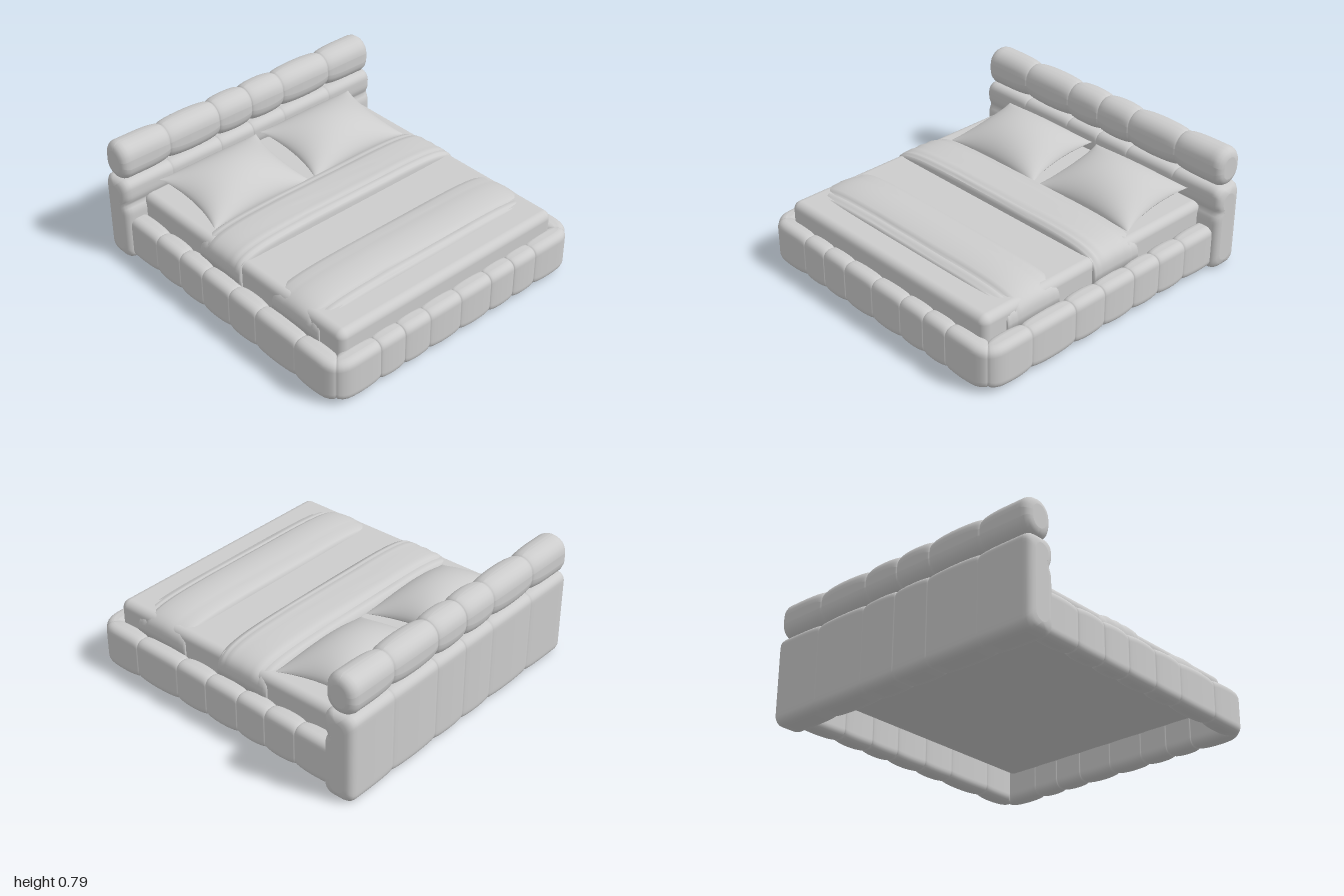
import * as THREE from 'three';
import { RoundedBoxGeometry } from 'three/addons/geometries/RoundedBoxGeometry.js';

const V = (x, y, z) => new THREE.Vector3(x, y, z);

// Closed skin over a list of rings, each ring counter-clockwise about the travel direction
function loft(rings) {
  const n = rings[0].length, pos = [], idx = [];
  rings.forEach(r => r.forEach(p => pos.push(p.x, p.y, p.z)));
  for (let i = 0; i < rings.length - 1; i++) {
    for (let j = 0; j < n; j++) {
      const a = i * n + j, b = i * n + (j + 1) % n;
      idx.push(a, b, a + n, b, b + n, a + n);
    }
  }
  // flat end caps with their own corners
  [[rings[0], true], [rings[rings.length - 1], false]].forEach(([ring, start]) => {
    const c = ring.reduce((s, p) => s.add(p), V(0, 0, 0)).divideScalar(n);
    const base = pos.length / 3;
    [c, ...ring].forEach(p => pos.push(p.x, p.y, p.z));
    for (let j = 0; j < n; j++) {
      const a = base + 1 + j, b = base + 1 + (j + 1) % n;
      start ? idx.push(base, b, a) : idx.push(base, a, b);
    }
  });
  const g = new THREE.BufferGeometry();
  g.setAttribute('position', new THREE.Float32BufferAttribute(pos, 3));
  g.setIndex(idx);
  g.computeVertexNormals();
  return g;
}

// Rounded rectangle section, shrunk by inset; straight sides are subdivided
function section(w, h, r, inset) {
  const hw = w / 2 - inset, hh = h / 2 - inset, rr = Math.min(r, hw, hh), pts = [];
  for (let q = 0; q < 4; q++) {
    const sx = q === 0 || q === 3 ? 1 : -1, sy = q < 2 ? 1 : -1;
    for (let k = 0; k <= 6; k++) {
      const a = (q + k / 6) * Math.PI / 2;
      pts.push([sx * (hw - rr) + rr * Math.cos(a), sy * (hh - rr) + rr * Math.sin(a)]);
    }
  }
  const out = [];
  pts.forEach((p, i) => {
    out.push(p);
    if (i % 7 !== 6) return;
    const q = pts[(i + 1) % pts.length];
    for (let k = 1; k < 24; k++) out.push([p[0] + (q[0] - p[0]) * k / 24, p[1] + (q[1] - p[1]) * k / 24]);
  });
  return out;
}

// Stations along a padded bar: [distance, inset], pinched in at every seam
function tufts(seams, depth) {
  const out = [];
  for (let i = 0; i < seams.length - 1; i++) {
    for (let k = i ? 1 : 0; k <= 16; k++) {
      const t = (1 - Math.cos(Math.PI * k / 16)) / 2;
      const bulge = Math.pow(Math.max(0, 4 * t * (1 - t)), 0.4);
      out.push([seams[i] + (seams[i + 1] - seams[i]) * t, depth * (1 - bulge)]);
    }
  }
  return out;
}

// Padded headboard bar running across the bed, with rounded ends
function headboardBar(halfLength, y, h, r, depth, grooveY) {
  const end = 0.05, x = halfLength;
  const stations = tufts([-x, -0.62, -0.25, 0, 0.25, 0.62, x], depth).map(([s, i]) => {
    const e = Math.max(0, Math.abs(s) - (x - end));
    return [s, (Math.abs(s) > 0.8 ? 0 : i) + end - Math.sqrt(Math.max(0, end * end - e * e))];
  });
  return loft(stations.map(([s, inset]) => section(0.2, h, r, inset).map(([u, v]) => {
    const near = grooveY && u > 0.03 ? Math.max(0, 1 - Math.abs(y + v - grooveY) / 0.06) : 0;
    return V(-s, y + v, -0.9 + u - 0.022 * near * near);
  })));
}

// Side and foot rails as one padded U with mitred, rounded corners
function railGeometry() {
  const T = 0.13, ix = 0.82, iz = 0.87, z0 = -0.86, A = 0.1, L = iz - z0, F = 2 * ix, S = 2 * (L + A) + F;
  const side = [-0.57, -0.35, -0.14, 0.1, 0.33, 0.66].map(z => z - z0);
  const half = [0, ...side, L + A / 2];
  const foot = [0.61, 0.43, 0.24, 0, -0.24, -0.43, -0.61].map(x => L + A + ix - x);
  const seams = [...half, ...foot, ...half.map(s => S - s).reverse()];
  return loft(tufts(seams, 0.014).map(([s, inset]) => {
    const m = s > S / 2 ? -1 : 1, d = m < 0 ? S - s : s;
    const ang = THREE.MathUtils.clamp((d - L) / A, 0, 1) * Math.PI / 2;
    const ox = ix - Math.max(0, d - L - A), oz = z0 + Math.min(d, L);
    return section(T, 0.275, 0.045, inset).map(([u, v]) =>
      V(m * (ox + (u + T / 2) * Math.cos(ang)), 0.155 + v, oz + (u + T / 2) * Math.sin(ang)));
  }));
}

// Folded blanket draped over the mattress; profile lists [z, top height]
function blanketGeometry(profile) {
  return loft(profile.map(([z, top]) => {
    const ring = [], w = 0.855 - (0.48 - top) * 0.2;
    for (let k = 0; k <= 48; k++) {
      const c = Math.cos(Math.PI * k / 48), s = Math.max(0, Math.sin(Math.PI * k / 48));
      ring.push(V(w * Math.sign(c) * Math.pow(Math.abs(c), 0.4), 0.25 + (top - 0.25) * Math.pow(s, 0.4), z));
    }
    return ring;
  }));
}

// One half of a pillow: a plane swollen up or down with pinched-in edges
function pillowHalf(height, up) {
  const g = new THREE.PlaneGeometry(2, 2, 28, 28).rotateX(up ? -Math.PI / 2 : Math.PI / 2);
  const p = g.attributes.position;
  for (let i = 0; i < p.count; i++) {
    const u = Math.sin(p.getX(i) * Math.PI / 2), v = Math.sin(p.getZ(i) * Math.PI / 2);
    const a = Math.max(0, 1 - u * u), b = Math.max(0, 1 - v * v);
    p.setXYZ(i, 0.365 * u * (1 - 0.11 * b), (up ? 1 : -1) * height * Math.pow(a * b, 0.6), 0.26 * v * (1 - 0.06 * a));
  }
  g.computeVertexNormals();
  return g;
}

export function createModel() {
  const bed = new THREE.Group();
  bed.name = 'bed';
  const fabric = new THREE.MeshStandardMaterial({ color: 0xcccccc });
  fabric.name = 'light grey fabric';
  const add = (name, geometry, parent = bed) => {
    const mesh = new THREE.Mesh(geometry, fabric);
    mesh.name = name;
    parent.add(mesh);
    return mesh;
  };

  // Headboard: tall lower panel with a front seam, and a rounded roll on top
  add('headboardPanel', headboardBar(0.98, 0.275, 0.55, 0.05, 0.01, 0.39));
  add('headboardRoll', headboardBar(0.965, 0.665, 0.24, 0.09, 0.018));

  // Rails and mattress
  add('rails', railGeometry());
  add('mattress', new RoundedBoxGeometry(1.66, 0.215, 1.76, 5, 0.05)).position.set(0, 0.3075, 0.03);

  // Blankets with soft folds
  add('upperBlanket', blanketGeometry([
    [-0.275, 0.40], [-0.27, 0.43], [-0.25, 0.45], [-0.22, 0.458], [-0.212, 0.448], [-0.195, 0.466], [-0.16, 0.476],
    [-0.12, 0.472], [-0.08, 0.48], [-0.04, 0.474], [0, 0.48], [0.03, 0.478], [0.04, 0.468], [0.05, 0.476],
    [0.07, 0.472], [0.078, 0.455], [0.085, 0.462], [0.092, 0.44], [0.093, 0.40]]));
  add('lowerBlanket', blanketGeometry([
    [0.36, 0.40], [0.362, 0.425], [0.375, 0.44], [0.41, 0.455], [0.45, 0.454], [0.48, 0.462], [0.54, 0.468],
    [0.6, 0.464], [0.65, 0.456], [0.672, 0.446], [0.68, 0.43], [0.69, 0.442], [0.715, 0.438], [0.725, 0.425],
    [0.735, 0.43], [0.745, 0.415], [0.746, 0.40]]));

  // Pillows leaning slightly up towards the headboard
  [['rightPillow', -0.37], ['leftPillow', 0.395]].forEach(([name, x]) => {
    const pillow = new THREE.Group();
    pillow.name = name;
    add('pillowTop', pillowHalf(0.13, true), pillow);
    add('pillowUnderside', pillowHalf(0.065, false), pillow);
    pillow.position.set(x, 0.455, -0.525);
    pillow.rotation.x = 0.16;
    bed.add(pillow);
  });
  return bed;
}
